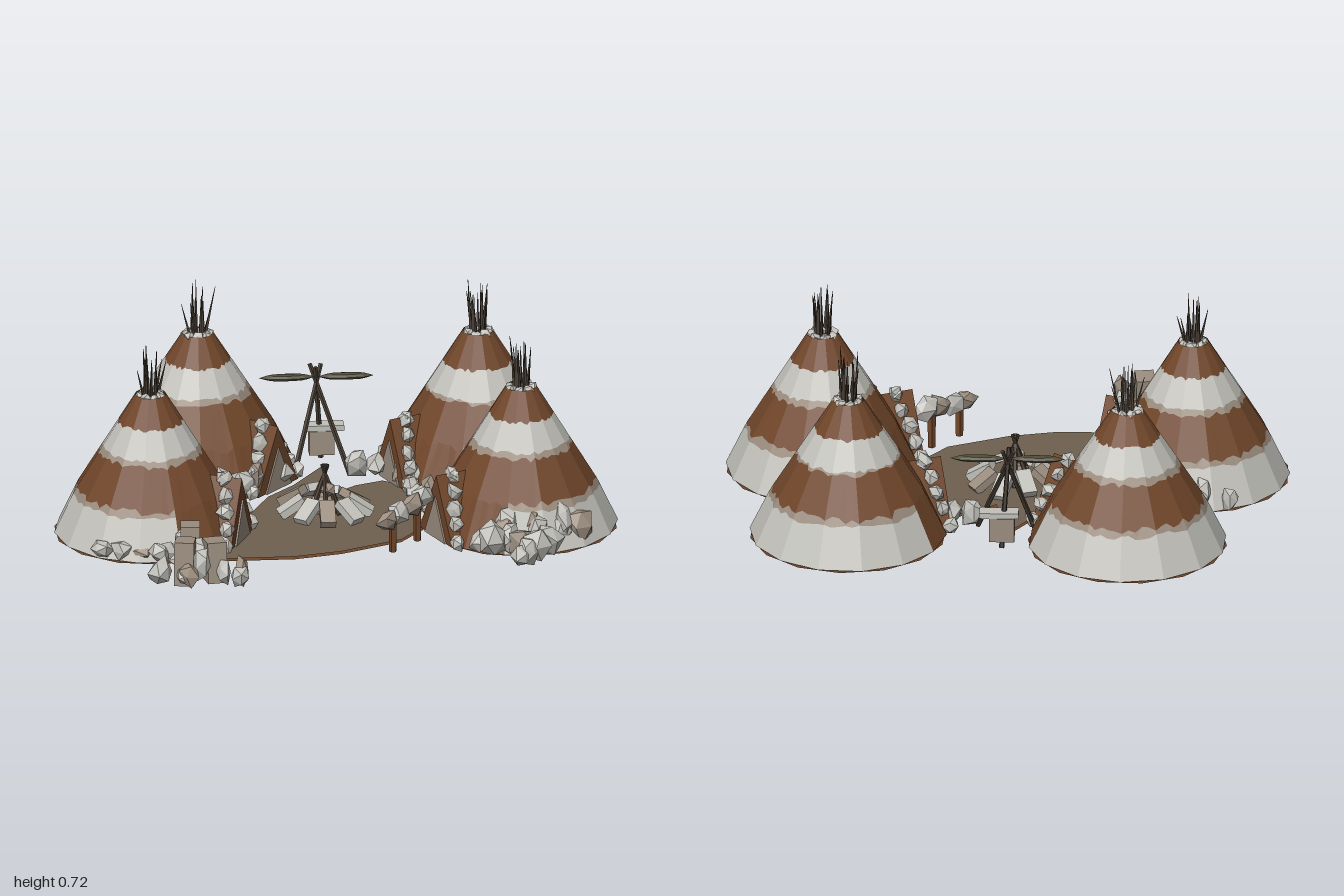
import * as THREE from 'three';
import { mergeGeometries } from 'three/addons/utils/BufferGeometryUtils.js';

const mat = (name, color) => {
  const m = new THREE.MeshStandardMaterial({ color, flatShading: true, side: THREE.DoubleSide });
  m.name = name;
  return m;
};

export function createModel() {
  const hide = mat('brown hide', 0x70462a), pale = mat('pale hide', 0xc2c1bb);
  const taupe = mat('taupe', 0x9c8e80), earth = mat('earth', 0x70614f);
  const wood = mat('dark wood', 0x463c32), olive = mat('olive wood', 0x4f4a37);
  const root = new THREE.Group();

  let seed = 7;
  const rnd = (a = 0, b = 1) => {
    seed = (seed * 16807) % 2147483647;
    return a + (b - a) * seed / 2147483647;
  };
  const add = (parent, name, geo, m) => {
    const mesh = new THREE.Mesh(geo, m);
    mesh.name = name;
    parent.add(mesh);
    return mesh;
  };
  const V = (x, y, z) => new THREE.Vector3(x, y, z);

  // Irregular stone, jittered consistently at shared corners
  function rock(x, y, z, sx, sy = sx, sz = sx) {
    const g = new THREE.IcosahedronGeometry(1, 0), p = g.attributes.position, seen = {};
    for (let i = 0; i < p.count; i++) {
      const k = [p.getX(i), p.getY(i), p.getZ(i)].map(v => Math.round(v * 50)).join();
      const s = seen[k] ??= rnd(0.72, 1.25);
      p.setXYZ(i, p.getX(i) * s, p.getY(i) * s, p.getZ(i) * s);
    }
    g.rotateY(rnd(0, 6)).scale(sx, sy, sz).translate(x, y, z);
    return g;
  }
  // Loose row of stones between two ground points, split over two colours
  function pile(parent, name, a, b, n, size, height, spread = 0.03) {
    const sets = [[], []];
    for (let i = 0; i < n; i++) {
      const t = i / Math.max(1, n - 1), h = rnd(0.5, 1) * height / 2;
      sets[i % 3 === 2 ? 1 : 0].push(rock(a[0] + (b[0] - a[0]) * t + rnd(-spread, spread), h + 0.015,
        a[1] + (b[1] - a[1]) * t + rnd(-spread, spread), size * rnd(0.75, 1.25), h, size * rnd(0.75, 1.25)));
    }
    sets.forEach((s, i) => s.length && add(parent, name, mergeGeometries(s), [pale, taupe][i]));
  }
  // Tapered pole between two points
  function pole(a, b, r0, r1, sides = 5) {
    const d = b.clone().sub(a), g = new THREE.CylinderGeometry(r1, r0, d.length(), sides);
    g.applyQuaternion(new THREE.Quaternion().setFromUnitVectors(V(0, 1, 0), d.clone().normalize()));
    const c = a.clone().add(b).multiplyScalar(0.5);
    return g.translate(c.x, c.y, c.z);
  }

  // Tent: banded, faceted cone with ragged colour edges; its door faces local +z
  const SIDES = 14, SUB = 5, N = SIDES * SUB;
  function tent(name, x, z, R, doorX, doorZ, lift) {
    const g = new THREE.Group();
    g.name = name;
    g.position.set(x, 0, z);
    g.rotation.y = Math.atan2(doorX, doorZ);
    root.add(g);
    const radius = y => y > 0.17
      ? THREE.MathUtils.mapLinear(y, 0.17, 0.53, R * 0.79, 0.055)
      : THREE.MathUtils.mapLinear(y, 0.015, 0.17, R, R * 0.79);
    const point = (i, y) => {
      const c = Math.floor(i / SUB), f = (i % SUB) / SUB, w = 2 * Math.PI / SIDES;
      const r = radius(y);
      return [r * (Math.sin(c * w) * (1 - f) + Math.sin((c + 1) * w) * f), y,
        r * (Math.cos(c * w) * (1 - f) + Math.cos((c + 1) * w) * f)];
    };
    const edge = (y, amp) => {
      const e = Array.from({ length: N }, () => y + rnd(-amp, amp));
      return [...e, e[0]];
    };
    const band = (label, top, low, m, from = 0, to = N) => {
      const pos = [];
      for (let i = from; i < to; i++) {
        const a = point(i, low[i]), b = point(i + 1, low[i + 1]);
        const c = point(i + 1, top[i + 1]), d = point(i, top[i]);
        pos.push(...a, ...b, ...c, ...a, ...c, ...d);
      }
      const geo = new THREE.BufferGeometry();
      geo.setAttribute('position', new THREE.Float32BufferAttribute(pos, 3));
      geo.computeVertexNormals();
      add(g, label, geo, m);
    };
    const e = [[0.53, 0], [0.43 + lift, 0.006], [0.335 + lift, 0.006], [0.315, 0.008],
      [0.178, 0.012], [0.155, 0.008], [0.015, 0]].map(v => edge(...v));
    band('upperHide', e[0], e[1], hide);
    band('paleBand', e[1], e[2], pale);
    band('bandTrim', e[2], e[3], taupe);
    band('lowerHide', e[3], e[4], hide);
    // Skirt is pale behind and brown around the door
    const s = SUB * 2;
    band('skirtTrim', e[4], e[5], taupe, s, N - s);
    band('skirt', e[5], e[6], pale, s, N - s);
    band('doorHide', e[4], e[6], hide, 0, s);
    band('doorHide', e[4], e[6], hide, N - s, N);
    const base = add(g, 'tentFloor', new THREE.CircleGeometry(R, SIDES), hide);
    base.rotation.set(Math.PI / 2, 0, 0);
    base.position.y = 0.01;

    // Smoke collar and splayed pole tips
    const collar = [], tips = [];
    for (let i = 0; i < 7; i++) {
      const t = i / 7 * Math.PI * 2;
      collar.push(rock(Math.sin(t) * 0.038, 0.523, Math.cos(t) * 0.038, 0.022, 0.02, 0.022));
    }
    for (let i = 0; i < 13; i++) {
      const t = i * 2.4, r = 0.02 + 0.045 * (i % 4) / 3;
      tips.push(pole(V(Math.sin(t) * 0.022, 0.49, Math.cos(t) * 0.022),
        V(Math.sin(t) * r, rnd(0.63, 0.72), Math.cos(t) * r), 0.008, 0.001, 4));
    }
    add(g, 'smokeCollar', mergeGeometries(collar), pale);
    add(g, 'poleTips', mergeGeometries(tips), wood);

    // Door porch: a low gable with a flap and a ragged pale border
    const gable = (w, h, depth) => new THREE.ExtrudeGeometry(
      new THREE.Shape([new THREE.Vector2(-w, 0.015), new THREE.Vector2(w, 0.015), new THREE.Vector2(0, h)]),
      { depth, bevelEnabled: false });
    add(g, 'porch', gable(0.12, 0.25, 0.2).translate(0, 0, R - 0.2), hide);
    add(g, 'doorFlap', gable(0.075, 0.17, 0.006).translate(0, 0, R), taupe);
    const trim = [];
    for (const sx of [-1, 1]) for (let i = 0; i < 5; i++) {
      const f = i / 4;
      trim.push(rock(sx * 0.13 * (1 - f), 0.04 + 0.2 * f, R - 0.015 - 0.05 * f, 0.03, 0.034, 0.03));
    }
    add(g, 'doorBorder', mergeGeometries(trim), pale);
  }
  tent('backLeftTent', -0.445, -0.45, 0.355, 0.75, 0.65, 0);
  tent('backRightTent', 0.55, -0.395, 0.352, -1, 0.42, -0.01);
  tent('frontLeftTent', -0.66, 0.145, 0.345, 1, 0.45, 0);
  tent('frontRightTent', 0.66, 0.17, 0.345, -1, 0.45, 0);

  // Trodden ground between the tents
  const outline = [[-0.01, -0.41], [0.03, -0.16], [0.1, -0.22], [0.2, -0.26], [0.36, -0.14], [0.4, 0.1],
    [0.31, 0.21], [0.22, 0.33], [0, 0.43], [-0.17, 0.47], [-0.42, 0.47], [-0.55, 0.32], [-0.5, 0.05],
    [-0.28, 0], [-0.22, -0.13], [-0.12, -0.24]].map(p => new THREE.Vector2(...p));
  const flat = y => new THREE.ShapeGeometry(new THREE.Shape(outline)).rotateX(Math.PI / 2).translate(0, y, 0);
  add(root, 'ground', flat(0.018), earth);
  add(root, 'groundUnderside', flat(0.008), hide);

  // Campfire: leaning slabs around a stack of stones
  const fire = new THREE.Group();
  fire.name = 'campfire';
  fire.position.set(-0.03, 0, 0.04);
  root.add(fire);
  for (let i = 0; i < 9; i++) {
    const t = i / 9 * Math.PI * 2;
    const slab = new THREE.BoxGeometry(0.055, 0.03, 0.1).rotateX(0.55)
      .translate(0, rnd(0.045, 0.065), rnd(0.105, 0.13)).rotateY(t);
    add(fire, 'fireSlab', slab, i % 3 ? pale : taupe);
  }
  const logs = [];
  for (let i = 0; i < 6; i++) {
    const t = i / 6 * Math.PI * 2;
    logs.push(pole(V(Math.sin(t) * 0.06, 0.02, Math.cos(t) * 0.06),
      V(-Math.sin(t) * 0.012, 0.2, -Math.cos(t) * 0.012), 0.011, 0.006));
  }
  add(fire, 'fireLogs', mergeGeometries(logs), wood);
  add(fire, 'fireStones', mergeGeometries([rock(0, 0.05, 0, 0.05), rock(0.01, 0.11, 0, 0.03)]), taupe);

  // Tripod with a blade-shaped crossbar and a hanging box
  const rack = new THREE.Group();
  rack.name = 'rack';
  rack.position.set(-0.02, 0, -0.47);
  root.add(rack);
  add(rack, 'rackLegs', mergeGeometries([[-0.09, 0.13], [0.11, 0.14], [0.02, -0.05]].map(([x, z]) =>
    pole(V(x, 0.015, z), V(-x * 0.2, 0.38, -z * 0.2), 0.01, 0.008))), wood);
  for (const sx of [-1, 1]) {
    const blade = new THREE.SphereGeometry(1, 8, 4).scale(0.1, 0.013, 0.02).translate(sx * 0.105, 0.34, 0);
    add(rack, 'crossbarBlade', blade, olive);
  }
  add(rack, 'hangingCord', pole(V(0.02, 0.12, -0.03), V(0, 0.34, 0), 0.004, 0.004), wood);
  add(rack, 'hangingBox', new THREE.BoxGeometry(0.09, 0.09, 0.06).translate(0.02, 0.085, -0.03), taupe);
  add(rack, 'boxLid', new THREE.BoxGeometry(0.14, 0.02, 0.055).translate(0.03, 0.14, -0.03), pale);

  // Raised log bench by the right tent
  const bench = new THREE.Group();
  bench.name = 'logBench';
  bench.position.set(0.23, 0, 0.385);
  bench.rotation.y = 0.82;
  root.add(bench);
  [-0.1, -0.04, 0.03, 0.1].forEach((x, i) =>
    add(bench, 'benchStone', rock(x, 0.14 + 0.012 * i, 0, 0.055, 0.045, 0.035), i % 2 ? pale : taupe));
  add(bench, 'benchLegs', mergeGeometries([-0.07, 0.07].map(x =>
    pole(V(x, 0.015, 0), V(x, 0.14, 0), 0.014, 0.016))), hide);

  // Stones round the camp: ends, count, size, height
  [[[-0.78, -0.17], [-0.36, -0.06], 8, 0.042, 0.12],
    [[-0.36, -0.08], [-0.18, -0.25], 5, 0.04, 0.15],
    [[0.13, -0.32], [0.3, -0.22], 4, 0.045, 0.14],
    [[0.28, -0.1], [0.36, -0.05], 3, 0.035, 0.1],
    [[-0.56, 0.47], [-0.54, 0.66], 6, 0.045, 0.16],
    [[-0.66, 0.7], [-0.36, 0.74], 7, 0.036, 0.13],
    [[-0.84, 0.42], [-0.6, 0.48], 5, 0.04, 0.1],
    [[0.47, 0.47], [0.86, 0.42], 9, 0.045, 0.17],
    [[0.55, 0.54], [0.74, 0.53], 5, 0.05, 0.17],
    [[0.6, 0.61], [0.64, 0.6], 2, 0.045, 0.12]].forEach(p => pile(root, 'stones', ...p));
  // Upright slabs in the front left pile
  for (const [x, z, h] of [[-0.55, 0.55, 0.17], [-0.58, 0.68, 0.16], [-0.47, 0.66, 0.15]]) {
    const slab = add(root, 'uprightSlab', new THREE.BoxGeometry(0.085, h, 0.07).translate(0, h / 2, 0), taupe);
    slab.position.set(x, 0.01, z);
    slab.rotation.set(0, x * 3, 0.08);
  }
  return root;
}
